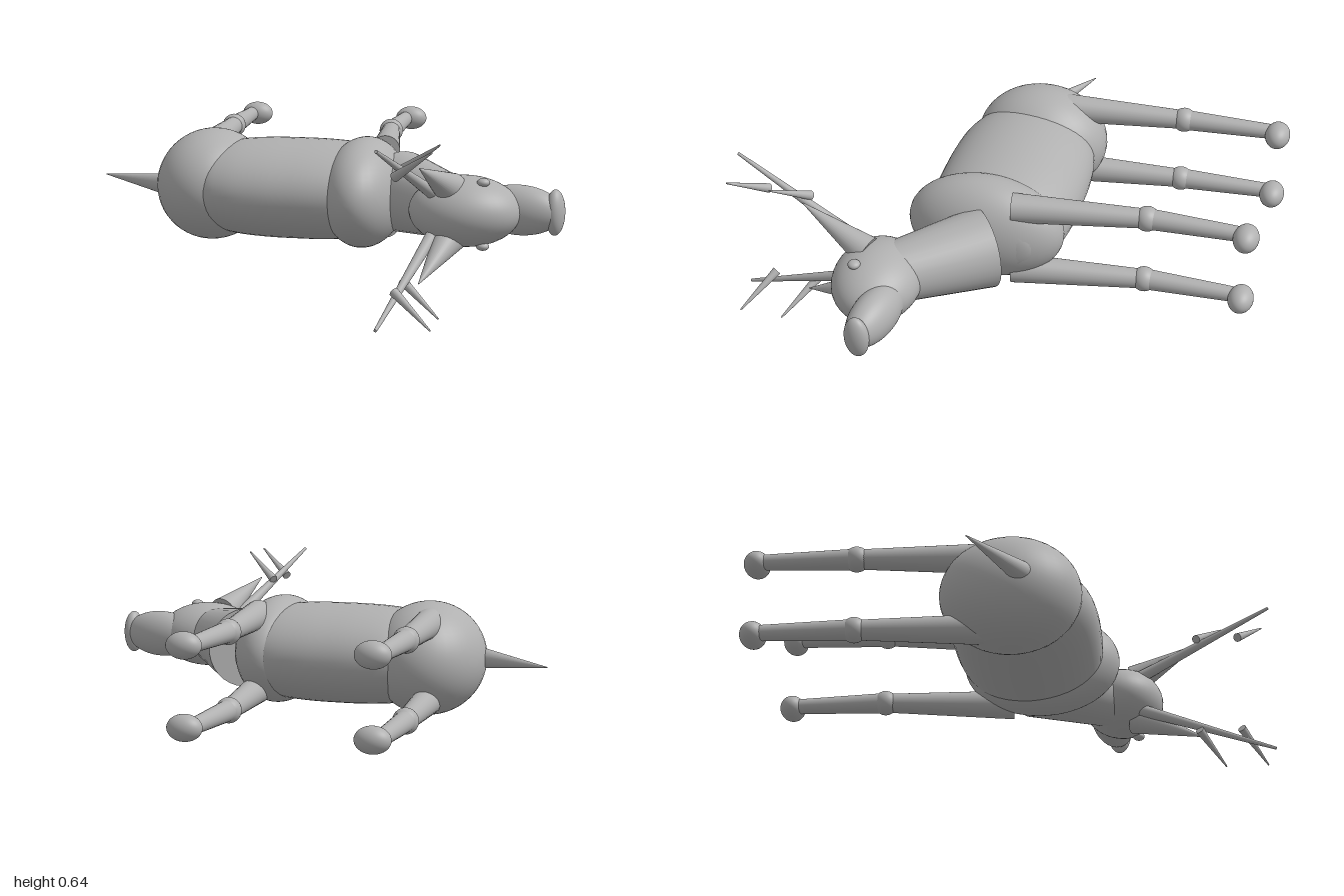
import * as THREE from 'three';

export function createModel() {
  const grey = new THREE.MeshStandardMaterial({ color: 0xb0b0b0 });
  grey.name = 'plain grey';

  // The animal lies on its side: x is forward, z is its up, y is sideways.
  const model = new THREE.Group();
  model.name = 'lyingDeer';
  const deer = new THREE.Group();
  deer.name = 'deer';
  deer.position.y = 0.325;
  model.add(deer);

  const V = (p) => new THREE.Vector3(...p);
  const UP = new THREE.Vector3(0, 1, 0);

  function add(name, geometry) {
    const mesh = new THREE.Mesh(geometry, grey);
    mesh.name = name;
    deer.add(mesh);
    return mesh;
  }

  // Ellipsoid with radii, turned about the sideways axis
  function blob(name, centre, radii, turn = 0) {
    const mesh = add(name, new THREE.SphereGeometry(1, 40, 28));
    mesh.scale.set(...radii);
    mesh.rotation.y = turn;
    mesh.position.set(...centre);
    return mesh;
  }

  // Tapered rod from a to b
  function rod(name, a, b, ra, rb) {
    const from = V(a), to = V(b);
    const dir = to.clone().sub(from);
    const mesh = add(name, new THREE.CylinderGeometry(rb, ra, dir.length(), 32));
    mesh.position.copy(from).add(to).multiplyScalar(0.5);
    mesh.quaternion.setFromUnitVectors(UP, dir.normalize());
    return mesh;
  }

  // Barrel body
  const half = [[0.1, 0.995], [0.2, 0.965], [0.27, 0.91], [0.32, 0.84], [0.37, 0.71], [0.41, 0.5], [0.43, 0]];
  const profile = [
    ...half.slice().reverse().map(([d, r]) => [r, -d]),
    [1, 0],
    ...half.map(([d, r]) => [r, d]),
  ].map(([r, d]) => new THREE.Vector2(r, d));
  const curve = new THREE.SplineCurve(profile).getPoints(48);
  curve.forEach((p) => { p.x = Math.max(p.x, 0); });
  const body = add('body', new THREE.LatheGeometry(curve, 48));
  body.scale.set(0.197, 1, 0.292);
  body.rotation.z = -Math.PI / 2;
  body.position.set(-0.12, 0, 0.037);

  blob('rump', [-0.477, 0, 0.012], [0.223, 0.222, 0.27]);
  blob('chest', [0.155, 0, 0.07], [0.163, 0.215, 0.313]);
  rod('tail', [-0.64, 0, 0.085], [-0.966, 0, -0.092], 0.045, 0.002);

  // Neck, head and muzzle
  rod('neck', [0.295, 0, 0.036], [0.535, 0, 0.32], 0.16, 0.118);
  blob('head', [0.595, 0, 0.37], [0.211, 0.133, 0.17]);
  blob('muzzle', [0.79, 0, 0.312], [0.17, 0.095, 0.08], -0.2);
  blob('nose', [0.928, 0, 0.335], [0.036, 0.087, 0.05], -0.2);

  for (const s of [1, -1]) {
    const side = s > 0 ? 'upper' : 'lower';

    blob(side + 'Eye', [0.672, s * 0.12, 0.43], [0.024, 0.016, 0.024]);
    rod(side + 'Ear', [0.55, s * 0.09, 0.425], [0.48, s * 0.21, 0.7], 0.062, 0.002);

    // Antler beam and its two tines
    rod(side + 'AntlerBeam', [0.49, s * 0.075, 0.45], [0.38, s * 0.315, 0.995], 0.025, 0.006);
    for (const z of [0.69, 0.862]) {
      rod(side + 'AntlerTine', [0.42, s * 0.205, z], [0.568, s * 0.312, z + 0.104], 0.018, 0.003);
    }

    // Legs: top x, top z, knee x, ankle x
    for (const [name, topX, topZ, kneeX, ankleX] of [
      ['Front', 0.212, -0.05, 0.138, 0.135],
      ['Hind', -0.503, -0.08, -0.55, -0.565],
    ]) {
      const y = s * 0.148;
      rod(side + name + 'Thigh', [topX, y, topZ], [kneeX, y, -0.565], 0.058, 0.038);
      blob(side + name + 'Knee', [kneeX, y, -0.565], [0.049, 0.049, 0.049]);
      rod(side + name + 'Shin', [kneeX, y, -0.565], [ankleX, y, -0.95], 0.041, 0.029);
      blob(side + name + 'Hoof', [ankleX + 0.02, y, -0.95], [0.067, 0.05, 0.05]);
    }
  }

  return model;
}
